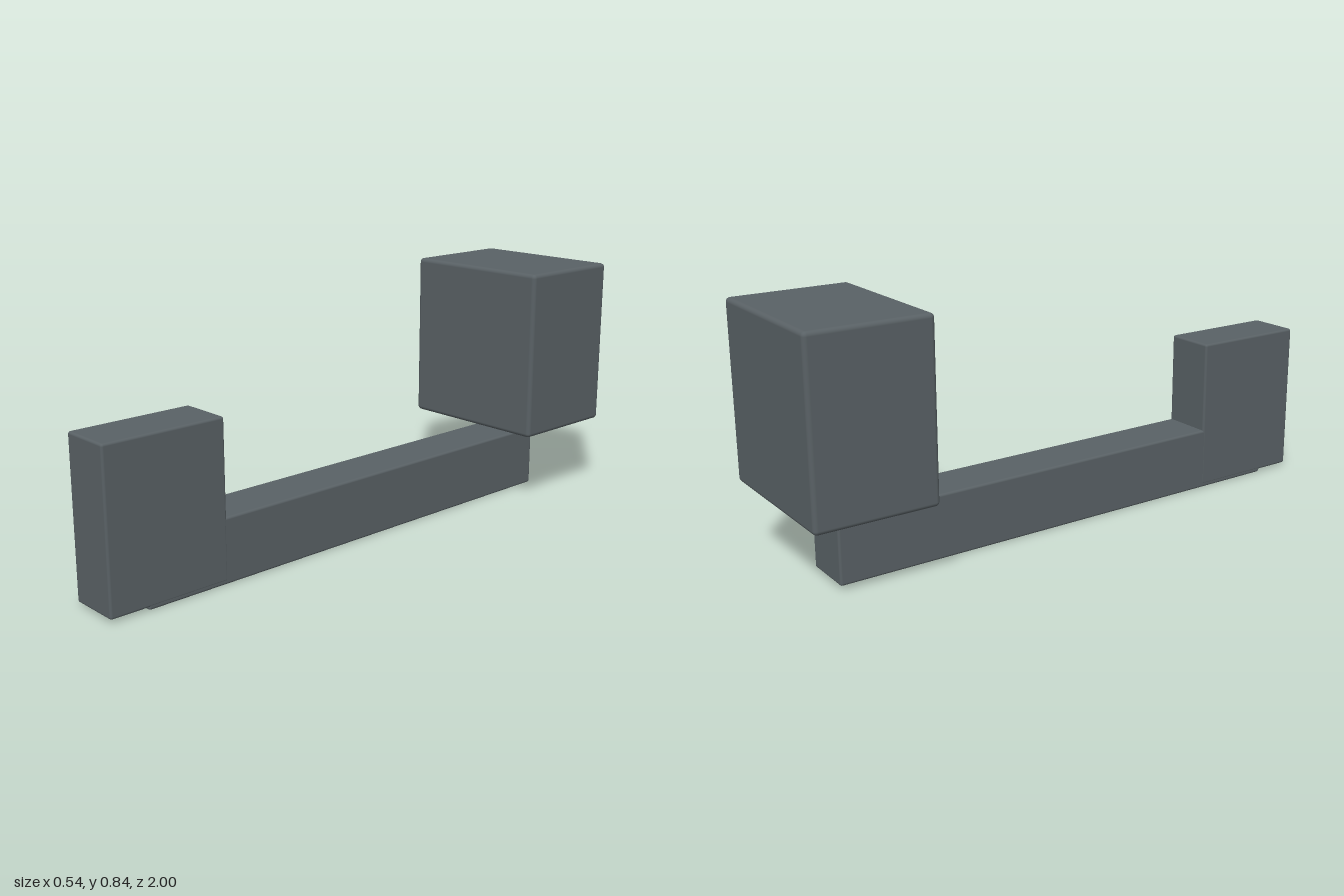
import * as THREE from 'three';
import { RoundedBoxGeometry } from 'three/addons/geometries/RoundedBoxGeometry.js';

export function createModel() {
  const model = new THREE.Group();
  const slateGrey = new THREE.MeshStandardMaterial({ color: 0x596165 });
  slateGrey.name = 'slateGrey';

  // Softly bevelled block, centred on x, spanning the given y and z ranges
  function block(name, width, y0, y1, z0, z1, bevel) {
    const geometry = new RoundedBoxGeometry(width, y1 - y0, z1 - z0, 3, bevel);
    const mesh = new THREE.Mesh(geometry, slateGrey);
    mesh.name = name;
    mesh.position.set(0, (y0 + y1) / 2, (z0 + z1) / 2);
    model.add(mesh);
  }

  // Long horizontal bar
  block('bar', 0.177, 0, 0.215, -0.845, 0.87, 0.008);
  // Upright block on the front end, its base just above the bar's underside
  block('frontBlock', 0.178, 0.01, 0.53, 0.583, 1, 0.008);
  // Large block floating above the back end
  block('rearBlock', 0.543, 0.26, 0.836, -1, -0.6, 0.014);

  return model;
}
